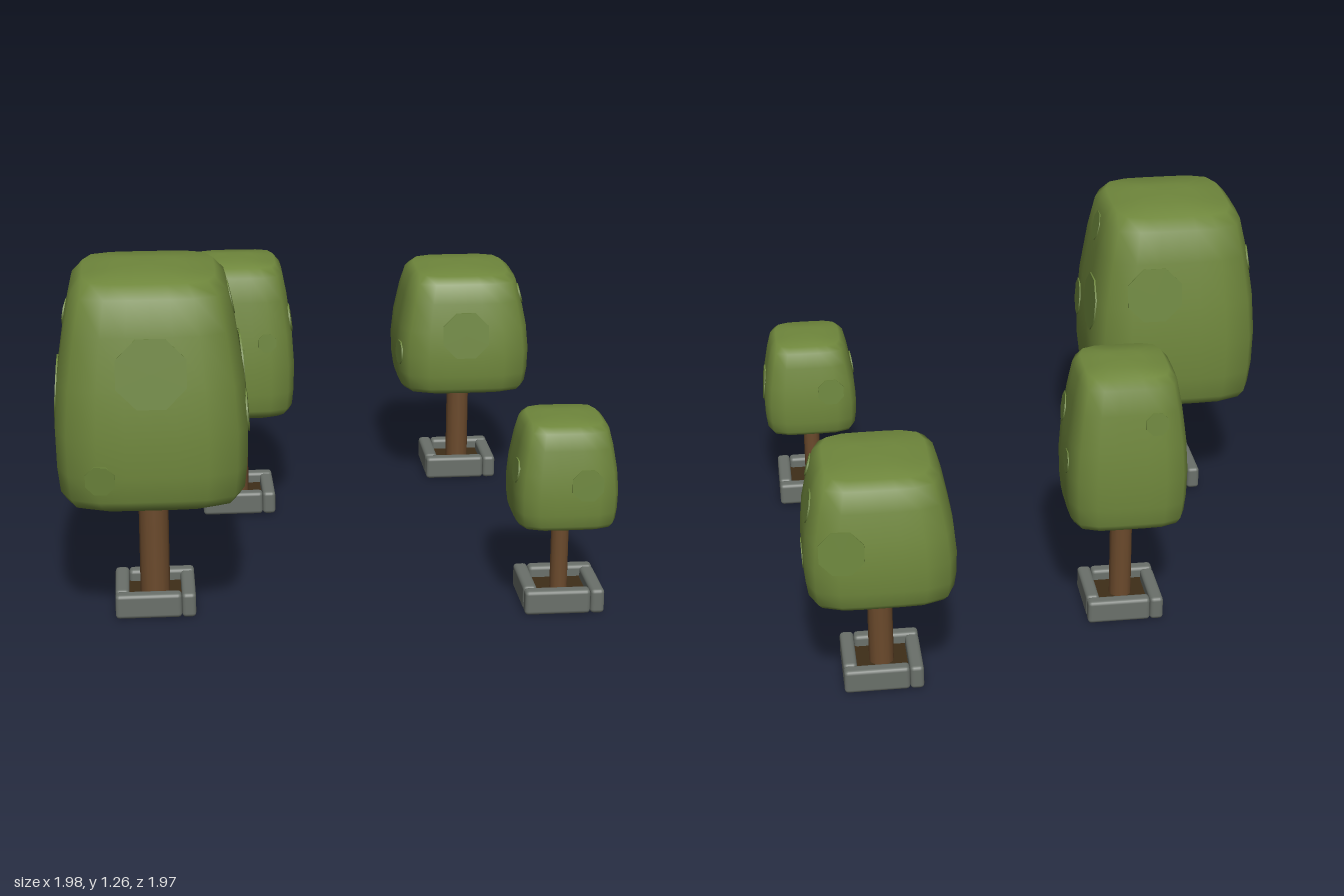
import * as THREE from 'three';
import { mergeVertices } from 'three/addons/utils/BufferGeometryUtils.js';
import { RoundedBoxGeometry } from 'three/addons/geometries/RoundedBoxGeometry.js';

const mat = (name, color, side = THREE.FrontSide) => new THREE.MeshStandardMaterial({ name, color, side });
const leaf = mat('leafGreen', 0x6f873c);
const leafSpot = mat('spotGreen', 0x6b843b);
const bark = mat('barkBrown', 0x6b4a2c);
const stone = mat('stoneGrey', 0x6a706a);
const earth = mat('soilBrown', 0x3e2d18, THREE.DoubleSide);

// Crown profile: height fraction, width fraction
const PROFILE = [[0, 0], [0.006, 0.78], [0.03, 0.9], [0.07, 0.96], [0.18, 0.99], [0.35, 1],
  [0.55, 0.965], [0.78, 0.88], [0.93, 0.8], [0.985, 0.68], [1, 0.3], [1, 0]];
const POWER = 5; // squareness of the crown's plan

function add(parent, name, geometry, material) {
  const mesh = new THREE.Mesh(geometry, material);
  mesh.name = name;
  parent.add(mesh);
  return mesh;
}

// Group turned to one of the four sides: 0 front, 1 +x, 2 back, 3 -x
function addSide(parent, name, index) {
  const side = new THREE.Group();
  side.name = name;
  side.rotation.y = index * Math.PI / 2;
  parent.add(side);
  return side;
}

function widthAt(t) {
  const i = PROFILE.findIndex(([height]) => height > t);
  const [t0, w0] = PROFILE[i - 1], [t1, w1] = PROFILE[i];
  return w0 + (w1 - w0) * (t - t0) / (t1 - t0);
}

// Round lathe pushed out to a rounded square plan
function crownGeometry(half, y0, y1) {
  const pts = PROFILE.map(([t, w]) => new THREE.Vector2(w * half, y0 + t * (y1 - y0)));
  const lathe = new THREE.LatheGeometry(pts, 24);
  const p = lathe.attributes.position;
  for (let i = 0; i < p.count; i++) {
    const x = p.getX(i), z = p.getZ(i), r = Math.hypot(x, z);
    if (r < 1e-6) continue;
    const k = (Math.abs(x / r) ** POWER + Math.abs(z / r) ** POWER) ** (-1 / POWER);
    p.setX(i, x * k);
    p.setZ(i, z * k);
  }
  lathe.deleteAttribute('uv');
  lathe.deleteAttribute('normal');
  const crown = mergeVertices(lathe, 1e-5);
  crown.computeVertexNormals();
  return crown;
}

// Four stone bars laid in a pinwheel around the soil
function addPlanter(tree) {
  const size = 0.285, bar = 0.05;
  for (let i = 0; i < 4; i++) {
    const side = addSide(tree, 'planterSide', i);
    add(side, 'stoneBar', new RoundedBoxGeometry(size - bar, 0.09, bar, 2, 0.014), stone)
      .position.set(-bar / 2, 0.045, (size - bar) / 2);
  }
  const soil = add(tree, 'soil', new THREE.PlaneGeometry(0.2, 0.2), earth);
  soil.rotation.x = -Math.PI / 2;
  soil.position.y = 0.05;
}

// Bent side branch reaching up into the crown
function addBranch(tree) {
  const elbow = new THREE.Vector3(-0.09, 0.4, -0.08);
  const path = new THREE.CurvePath();
  path.add(new THREE.LineCurve3(new THREE.Vector3(-0.02, 0.35, -0.02), elbow));
  path.add(new THREE.LineCurve3(elbow, new THREE.Vector3(-0.105, 0.5, -0.09)));
  add(tree, 'branch', new THREE.TubeGeometry(path, 8, 0.018, 8), bark);
}

// One tree; each spot is side, offset along the side, height, radius
function plantTree(model, name, x, z, { half, y0, y1, trunk, spots }) {
  const tree = new THREE.Group();
  tree.name = name;
  tree.position.set(x, 0, z);
  model.add(tree);
  addPlanter(tree);

  const base = 0.045, top = y0 + 0.06;
  add(tree, 'trunk', new THREE.CylinderGeometry(trunk, trunk, top - base, 12), bark)
    .position.y = (top + base) / 2;
  add(tree, 'crown', crownGeometry(half, y0, y1), leaf);

  // Thin octagonal leaf patches lying against the crown
  const depth = (u, y) => {
    const h = half * widthAt((y - y0) / (y1 - y0));
    return h * Math.max(0, 1 - Math.abs(u / h) ** POWER) ** (1 / POWER);
  };
  const e = 0.03;
  for (const [face, u, y, r] of spots) {
    const normal = new THREE.Vector3(
      (depth(u - e, y) - depth(u + e, y)) / (2 * e),
      (depth(u, y - e) - depth(u, y + e)) / (2 * e), 1).normalize();
    const octagon = new THREE.CylinderGeometry(r, r, 0.006, 8, 1, false, Math.PI / 8).rotateX(Math.PI / 2);
    const patch = add(addSide(tree, 'leafPatchSide', face), 'leafPatch', octagon, leafSpot);
    patch.position.set(u, y, depth(u, y));
    patch.quaternion.setFromUnitVectors(new THREE.Vector3(0, 0, 1), normal);
  }
  return tree;
}

export function createModel() {
  const model = new THREE.Group();
  model.name = 'treeGroup';

  const large = plantTree(model, 'largeTree', -0.65, 0.65, {
    half: 0.335, y0: 0.45, y1: 1.262, trunk: 0.053,
    spots: [[0, 0, 0.96, 0.13], [0, -0.18, 0.59, 0.055], [1, 0.125, 0.87, 0.115], [1, -0.005, 1.14, 0.06],
      [1, -0.15, 0.775, 0.075], [2, -0.1, 0.96, 0.115], [3, 0.03, 0.84, 0.11], [3, -0.19, 1.05, 0.05]],
  });
  addBranch(large);

  plantTree(model, 'tallTree', -0.305, -0.36, {
    half: 0.222, y0: 0.41, y1: 1.022, trunk: 0.042,
    spots: [[0, -0.05, 0.67, 0.08], [0, 0.11, 0.73, 0.038], [1, -0.1, 0.8, 0.055],
      [1, 0.07, 0.66, 0.045], [2, 0.09, 0.85, 0.045]],
  });

  plantTree(model, 'wideTree', 0.63, -0.713, {
    half: 0.268, y0: 0.39, y1: 0.885, trunk: 0.045,
    spots: [[0, -0.005, 0.65, 0.1], [1, -0.13, 0.79, 0.04], [1, 0.08, 0.74, 0.06],
      [1, 0, 0.51, 0.055], [2, -0.14, 0.64, 0.085], [3, 0.16, 0.56, 0.05]],
  });

  plantTree(model, 'smallTree', 0.8, 0.732, {
    half: 0.185, y0: 0.32, y1: 0.707, trunk: 0.032,
    spots: [[0, 0.06, 0.5, 0.06], [1, 0, 0.5, 0.07], [2, 0.08, 0.52, 0.055], [3, 0.08, 0.53, 0.045]],
  });

  return model;
}
